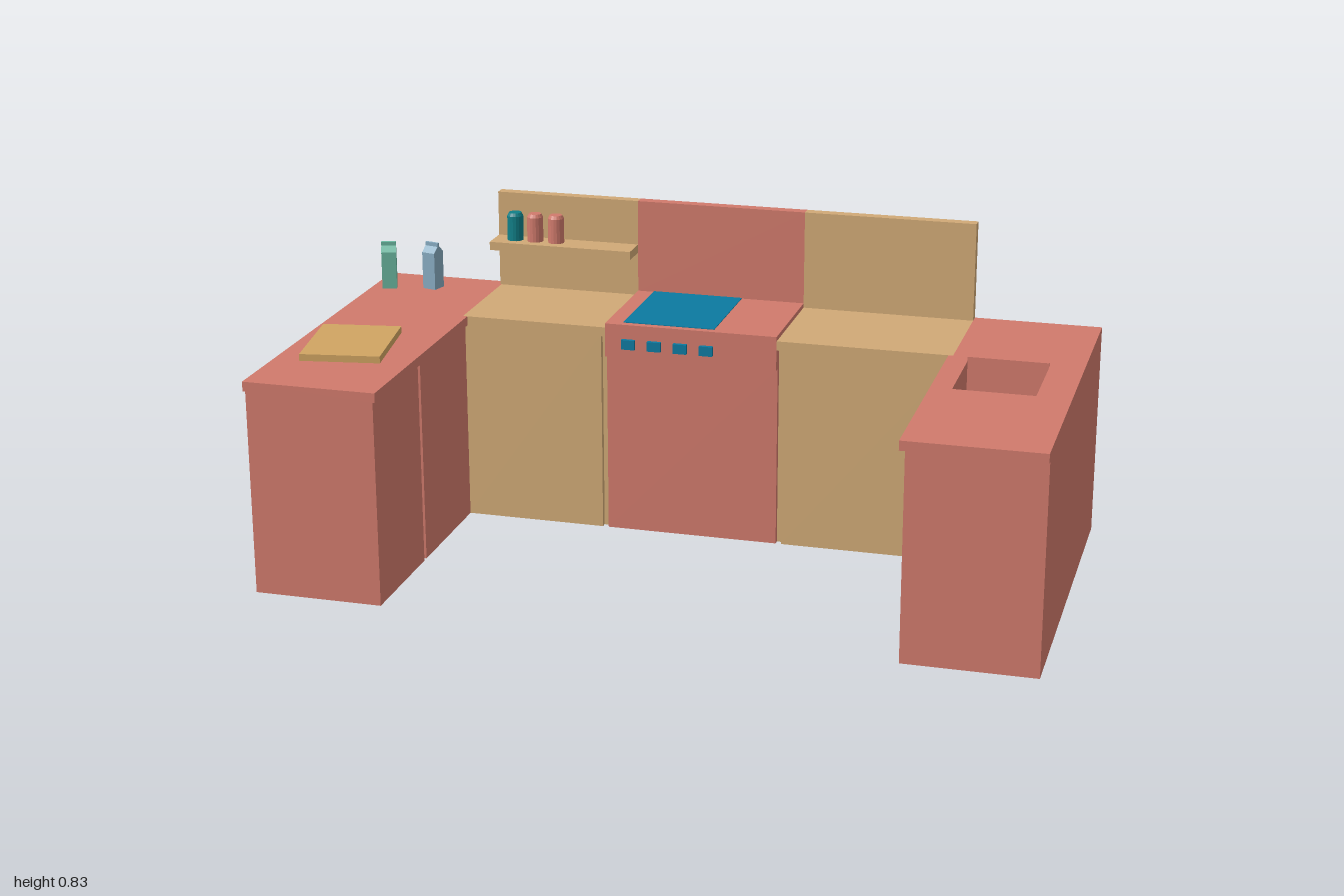
import * as THREE from 'three';

const mat = (color) => new THREE.MeshStandardMaterial({ color, flatShading: true });

export function createModel() {
  const kitchen = new THREE.Group();
  kitchen.name = 'kitchen';
  const red = mat(0xd07a6c), tan = mat(0xd0a976), blue = mat(0x0c7aa0), board = mat(0xd0a462);
  const teal = mat(0x0f7f88), green = mat(0x6bb8a0), paleBlue = mat(0x86aabf);

  const add = (name, geometry, material, parent = kitchen) => {
    const mesh = new THREE.Mesh(geometry, material);
    mesh.name = name;
    parent.add(mesh);
    return mesh;
  };

  // Box given by its limits on each axis
  const box = (name, material, x0, x1, y0, y1, z0, z1) => {
    const g = new THREE.BoxGeometry(Math.abs(x1 - x0), y1 - y0, z1 - z0);
    g.translate((x0 + x1) / 2, (y0 + y1) / 2, (z0 + z1) / 2);
    return add(name, g, material);
  };

  // Horizontal slab from an outline in x and z, with an optional hole
  const path = (points) => points.map(([x, z]) => new THREE.Vector2(x, z));
  const slab = (name, material, outline, hole, y0, y1) => {
    const shape = new THREE.Shape(path(outline));
    if (hole) shape.holes.push(new THREE.Path(path(hole)));
    const g = new THREE.ExtrudeGeometry(shape, { depth: y1 - y0, bevelEnabled: false });
    g.rotateX(Math.PI / 2).translate(0, y1, 0);
    return add(name, g, material);
  };

  const back = -0.505, top = 0.57, under = 0.545, sinkFloor = 0.49;
  const rect = (x0, x1, z0, z1) => [[x0, z0], [x1, z0], [x1, z1], [x0, z1]];
  const sinkHole = rect(0.705, 0.912, -0.125, 0.105);

  // Side wings: core, two doors on the inner face, overhanging worktop
  for (const [side, s, hole] of [['left', 1, sinkHole], ['right', -1, null]]) {
    box(side + 'WingCore', red, s * 0.65 + s * 0.025, s, 0, hole ? sinkFloor : under, back, 0.495);
    if (hole) slab('sinkWalls', red, rect(0.675, 1, back, 0.495), hole, sinkFloor, under);
    box(side + 'WingRearDoor', red, s * 0.662, s * 0.675, 0, under, back, 0.168);
    box(side + 'WingFrontDoor', red, s * 0.662, s * 0.675, 0, under, 0.184, 0.495);
    const outline = [[1, back], [0.662, back], [0.662, -0.16], [0.65, -0.16], [0.65, 0.51], [1, 0.51]]
      .map(([x, z]) => [s * x, z]);
    slab(side + 'WingWorktop', red, outline, hole, under, top);
  }
  box('sinkRim', red, 0.705, 0.912, top, 0.583, -0.125, -0.12);

  // Back cabinets with a gap beside the stove
  for (const [side, x0, x1, d0, d1] of [
    ['right', -0.665, -0.265, -0.665, -0.281], ['left', 0.2, 0.662, 0.215, 0.662]]) {
    box(side + 'CabinetCore', tan, x0, x1, 0, under, back, -0.19);
    box(side + 'CabinetDoor', tan, d0, d1, 0, under, -0.19, -0.175);
    box(side + 'CabinetWorktop', tan, x0, x1, under, top, back, -0.16);
    box(side + 'Backsplash', tan, x0, x1, top, 0.835, back, -0.475);
  }

  // Stove
  box('stoveBody', red, -0.265, 0.2, 0, sinkFloor, back, -0.175);
  box('stoveTop', red, -0.265, 0.2, sinkFloor, 0.582, back, -0.158);
  box('stoveBacksplash', red, -0.265, 0.2, 0.582, 0.835, back, -0.475);
  box('hob', blue, -0.22, 0.028, 0.58, 0.584, -0.475, -0.178);
  for (let i = 0; i < 4; i++) {
    const x = -0.2 + i * 0.0707;
    box('knob', blue, x - 0.018, x + 0.018, 0.517, 0.543, -0.16, -0.147);
  }

  // Shelf with three jars
  box('shelf', tan, -0.665, -0.265, 0.69, 0.713, -0.475, -0.395);
  const jarProfile = [[0, 0], [0.022, 0], [0.022, 0.068], [0.017, 0.077], [0, 0.077]];
  [[-0.605, teal], [-0.548, red], [-0.488, red]].forEach(([x, m]) => {
    add('jar', new THREE.LatheGeometry(path(jarProfile), 16), m).position.set(x, 0.713, -0.44);
  });

  // Chopping board
  const chopping = add('choppingBoard', new THREE.BoxGeometry(0.208, 0.018, 0.262), board);
  chopping.position.set(-0.848, top + 0.009, 0.171);
  chopping.rotation.y = 0.16;

  // Drink cartons: gabled section with a top fin
  const half = [[0.021, 0], [0.021, 0.103], [0.004, 0.119], [0.004, 0.129]];
  const section = [...half, ...half.map(([x, y]) => [-x, y]).reverse()];
  [[-0.953, -0.373, 0.33, green], [-0.834, -0.398, -0.25, paleBlue]].forEach(([x, z, turn, m]) => {
    const g = new THREE.ExtrudeGeometry(new THREE.Shape(path(section)), { depth: 0.04, bevelEnabled: false });
    g.translate(0, 0, -0.02).rotateY(Math.PI / 2);
    const carton = add('carton', g, m);
    carton.position.set(x, top, z);
    carton.rotation.y = turn;
  });

  return kitchen;
}
